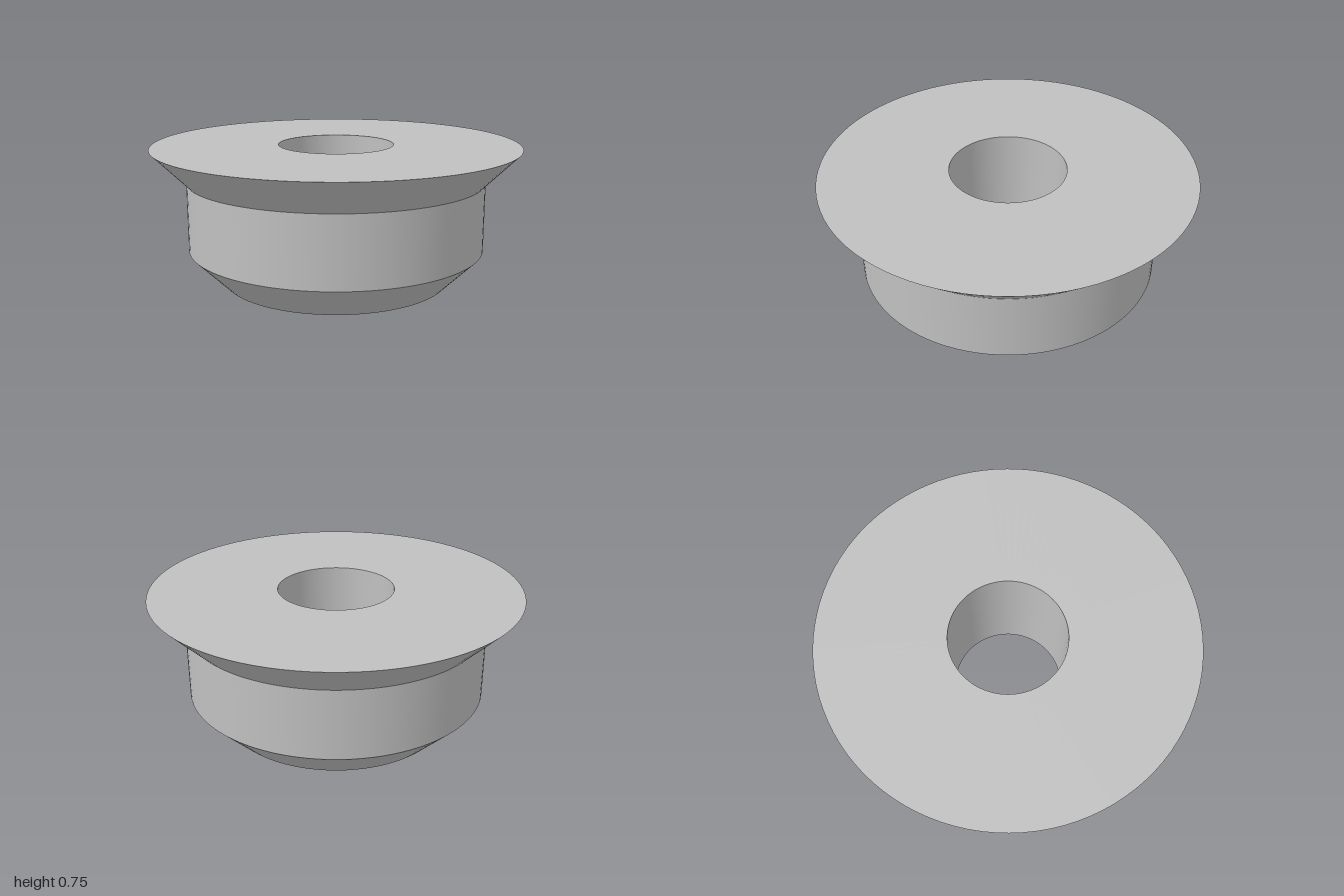
import * as THREE from 'three';

export function createModel() {
  const group = new THREE.Group();
  group.name = 'flangedBushing';
  const grey = new THREE.MeshStandardMaterial({ color: 0xc0c0c0 });
  grey.name = 'plain grey';

  // Corners of the revolved cross-section, as [radius, height]
  const corners = [
    [0.3125, 0], [0.625, 0], [0.8125, 0.1875],
    [0.8125, 0.5625], [1, 0.75], [0.3125, 0.75],
  ];
  const names = ['bottomFace', 'lowerChamfer', 'bodyWall', 'flaredRim', 'topFace', 'bore'];

  // One lathe per edge of the section keeps the rims sharp and the walls smooth
  names.forEach((name, i) => {
    const edge = [corners[i], corners[(i + 1) % corners.length]];
    const points = edge.map(([r, y]) => new THREE.Vector2(r, y));
    const mesh = new THREE.Mesh(new THREE.LatheGeometry(points, 96), grey);
    mesh.name = name;
    group.add(mesh);
  });
  return group;
}
